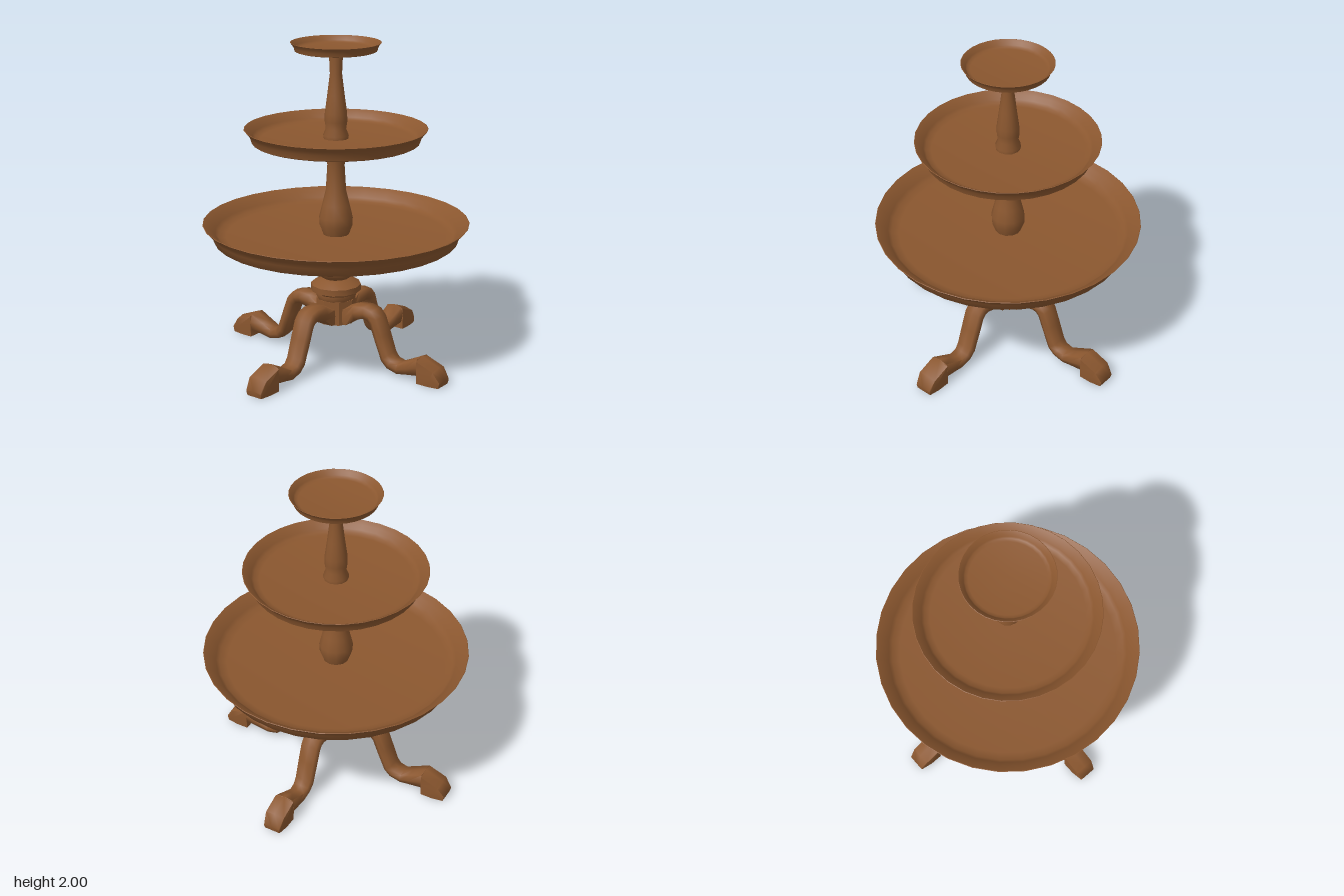
import * as THREE from 'three';
import { toCreasedNormals } from 'three/addons/utils/BufferGeometryUtils.js';

const wood = new THREE.MeshStandardMaterial({ color: 0x8b572f });

function addMesh(parent, name, geometry, crease = 0.75) {
  const mesh = new THREE.Mesh(toCreasedNormals(geometry, crease), wood);
  mesh.name = name;
  parent.add(mesh);
  return mesh;
}

// Turned part from [radius, height] pairs, listed from bottom to top
function turned(points, sides) {
  return new THREE.LatheGeometry(points.map(([r, y]) => new THREE.Vector2(r, y)), sides);
}

// Dished tray: flat underside, flared rim, thin lip, sunken floor
function tray(radius, base, height, flare) {
  const foot = radius - flare;
  const y = (t) => base + height * t;
  return turned([
    [0, y(0)], [foot - 0.012, y(0)], [foot, y(0.07)],
    [foot + flare * 0.22, y(0.45)], [foot + flare * 0.56, y(0.72)], [radius, y(0.98)],
    [radius - 0.003, y(1)], [foot + flare * 0.35, y(0.78)],
    [foot - flare * 0.1, y(0.5)], [foot - flare * 0.4, y(0.33)],
    [foot - flare * 1.1, y(0.27)], [0, y(0.27)],
  ], 32);
}

// Leg cross-sections: rounded shank and a flat-soled block, as [sideways, up]
const shank = [[0, 1], [0.8, 0.85], [1, 0], [0.8, -0.85], [0, -1], [-0.8, -0.85], [-1, 0], [-0.8, 0.85]];
const block = [[0, 1], [0.95, 0.75], [1, 0], [0.95, -1], [0, -1], [-0.95, -1], [-1, 0], [-0.95, 0.75]];

// Stations along the leg: top x, top y, bottom x, bottom y, half width, section
const stations = [
  [0.04, 0.37, 0.04, 0.252, 0.067, block],
  [0.10, 0.365, 0.125, 0.255, 0.067, block],
  [0.17, 0.395, 0.18, 0.295, 0.067, shank],
  [0.25, 0.40, 0.25, 0.315, 0.067, shank],
  [0.31, 0.385, 0.275, 0.31, 0.067, shank],
  [0.35, 0.34, 0.295, 0.29, 0.067, shank],
  [0.39, 0.235, 0.325, 0.21, 0.066, shank],
  [0.43, 0.125, 0.38, 0.075, 0.064, shank],
  [0.455, 0.095, 0.42, 0.035, 0.061, shank],
  [0.50, 0.085, 0.495, 0.014, 0.059, shank],
  [0.56, 0.115, 0.56, 0.025, 0.062, shank],
  [0.648, 0.16, 0.65, 0.038, 0.067, shank],
  [0.65, 0.16, 0.65, 0, 0.067, block],
  [0.77, 0.112, 0.73, 0, 0.067, block],
  [0.81, 0.04, 0.80, 0, 0.055, block],
];

function legGeometry() {
  const n = shank.length;
  const positions = [];
  const indices = [];
  for (const [tx, ty, bx, by, w, section] of stations) {
    for (const [s, u] of section) {
      const t = (u + 1) / 2;
      positions.push(bx + (tx - bx) * t, by + (ty - by) * t, s * w);
    }
  }
  for (let i = 0; i < stations.length - 1; i++) {
    for (let j = 0; j < n; j++) {
      const a = i * n + j;
      const b = i * n + ((j + 1) % n);
      indices.push(a, b, a + n, b, b + n, a + n);
    }
  }
  // End caps
  const last = (stations.length - 1) * n;
  for (let j = 1; j < n - 1; j++) {
    indices.push(0, j + 1, j, last, last + j, last + j + 1);
  }
  const geometry = new THREE.BufferGeometry();
  geometry.setAttribute('position', new THREE.Float32BufferAttribute(positions, 3));
  geometry.setIndex(indices);
  return geometry;
}

export function createModel() {
  const model = new THREE.Group();
  model.name = 'tieredTrayStand';

  // Eight-sided hub that carries the legs, with a collar above it
  addMesh(model, 'hub', turned([
    [0, 0.25], [0.124, 0.25], [0.124, 0.40], [0, 0.40],
  ], 8));
  addMesh(model, 'collar', turned([
    [0, 0.395], [0.115, 0.395], [0.125, 0.415], [0.125, 0.435], [0.156, 0.452],
    [0.156, 0.49], [0.10, 0.525], [0.075, 0.532], [0, 0.532],
  ], 12));

  // Central turned column, in three sections between the trays
  addMesh(model, 'lowerColumn', turned([
    [0.075, 0.525], [0.118, 0.557], [0.127, 0.58], [0.129, 0.64],
    [0.12, 0.70], [0.10, 0.785], [0.095, 0.80],
  ], 12));
  addMesh(model, 'middleColumn', turned([
    [0.08, 0.81], [0.102, 0.87], [0.104, 0.92], [0.085, 1.00], [0.063, 1.09],
    [0.053, 1.25], [0.068, 1.32], [0.085, 1.395], [0.085, 1.41],
  ], 12));
  addMesh(model, 'upperColumn', turned([
    [0.075, 1.41], [0.078, 1.435], [0.062, 1.475], [0.069, 1.52], [0.068, 1.57],
    [0.053, 1.68], [0.037, 1.81], [0.041, 1.90], [0.04, 1.955],
  ], 12));

  // Three trays, largest at the bottom
  addMesh(model, 'lowerTray', tray(0.819, 0.78, 0.115, 0.068));
  addMesh(model, 'middleTray', tray(0.558, 1.39, 0.09, 0.048));
  addMesh(model, 'topTray', tray(0.273, 1.945, 0.055, 0.026));

  // Four curved legs
  const leg = legGeometry();
  for (let i = 0; i < 4; i++) {
    addMesh(model, 'leg' + (i + 1), leg, 1.2).rotation.y = (i * Math.PI) / 2;
  }
  return model;
}
